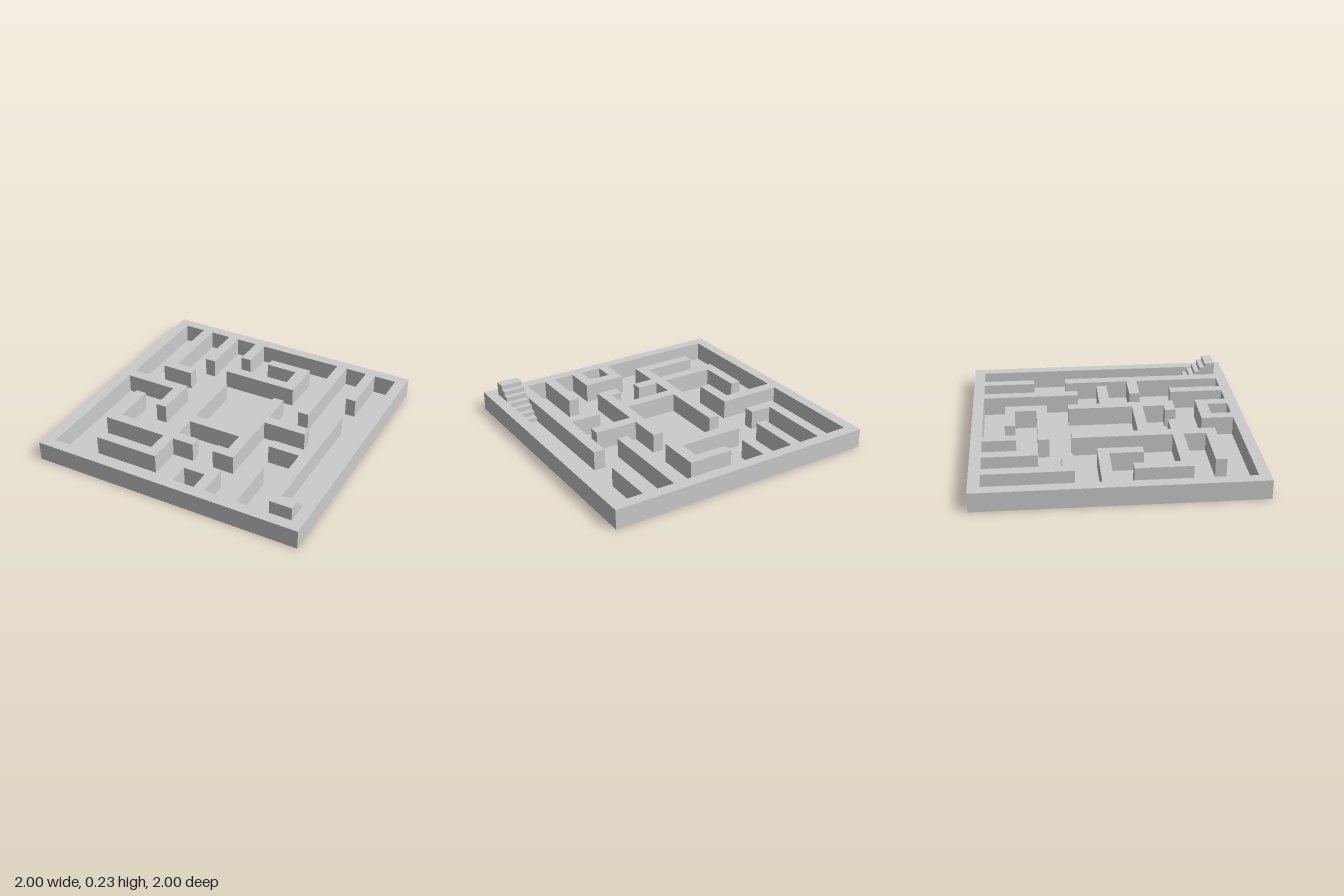
import * as THREE from 'three';

const H = 0.14; // wall height
const material = new THREE.MeshStandardMaterial({ color: 0xcccccc, flatShading: true, side: THREE.DoubleSide });

// Corner path from [x, z] start, then alternating x and z moves
const toLoop = (pairs) => pairs.map(([x, z]) => new THREE.Vector2(x, -z));
const rect = (x0, z0, x1, z1) => toLoop([[x0, z0], [x1, z0], [x1, z1], [x0, z1]]);

// Strip of quads swept from a path along an offset
function sheet(path, offset) {
  const pos = [];
  for (let i = 0; i < path.length - 1; i++) {
    const a = path[i], b = path[i + 1];
    const c = b.clone().add(offset), d = a.clone().add(offset);
    for (const p of [a, b, c, a, c, d]) pos.push(p.x, p.y, p.z);
  }
  const geo = new THREE.BufferGeometry();
  geo.setAttribute('position', new THREE.Float32BufferAttribute(pos, 3));
  geo.computeVertexNormals();
  return geo;
}

// Vertical faces around a closed loop, facing out of it or into it
function sides(loop, inward) {
  const pts = [...loop, loop[0]].map((p) => new THREE.Vector3(p.x, 0, -p.y));
  if (THREE.ShapeUtils.isClockWise(loop) !== inward) pts.reverse();
  return sheet(pts, new THREE.Vector3(0, H, 0));
}

// Horizontal face with holes
function flat(loop, holes, y) {
  const shape = new THREE.Shape(loop);
  shape.holes = holes.map((h) => new THREE.Path(h));
  return new THREE.ShapeGeometry(shape).rotateX(-Math.PI / 2).translate(0, y, 0);
}

export function createModel() {
  const group = new THREE.Group();
  const add = (name, geo) => {
    const mesh = new THREE.Mesh(geo, material);
    mesh.name = name;
    group.add(mesh);
  };

  // Corridor outline, split so the stairwell can be left out of the floor
  const northAndEast = [
    [-0.92, -0.92], [-0.76, -0.92], [-0.76, -0.29], [-0.52, -0.29], [-0.52, -0.37], [-0.68, -0.37],
    [-0.68, -0.92], [-0.52, -0.92], [-0.52, -0.53], [-0.44, -0.53], [-0.44, -0.92], [-0.28, -0.92],
    [-0.28, -0.68], [-0.2, -0.68], [-0.2, -0.92], [0.44, -0.92], [0.44, -0.2], [0.52, -0.2],
    [0.52, -0.92], [0.68, -0.92], [0.68, -0.53], [0.755, -0.53], [0.755, -0.92], [0.92, -0.92],
  ];
  const southAndWest = [
    [0.755, -0.285], [0.67, -0.285], [0.67, 0.2], [0.435, 0.2], [0.435, 0.28], [0.67, 0.28],
    [0.67, 0.92], [0.52, 0.92], [0.52, 0.52], [0.44, 0.52], [0.44, 0.92], [0.28, 0.92],
    [0.28, 0.685], [-0.04, 0.685], [-0.04, 0.92], [-0.92, 0.92], [-0.92, -0.04], [-0.53, -0.04],
    [-0.53, 0.2], [-0.45, 0.2], [-0.45, -0.12], [-0.92, -0.12],
  ];
  const corridor = toLoop([...northAndEast, [0.92, 0.92], [0.755, 0.92], ...southAndWest]);
  const floorLoop = toLoop([...northAndEast, [0.92, 0.6], [0.755, 0.6], ...southAndWest]);
  const outer = rect(-1, -1, 1, 1);
  const pit = rect(0.04, 0.77, 0.2, 0.92);

  // Free-standing walls
  const hookWall = toLoop([
    [-0.05, -0.76], [0.28, -0.76], [0.28, -0.445], [-0.29, -0.445],
    [-0.29, -0.525], [0.19, -0.525], [0.19, -0.685], [-0.05, -0.685],
  ]);
  const centreWall = toLoop([
    [-0.28, -0.285], [-0.28, 0.435], [-0.68, 0.435], [-0.68, 0.11], [-0.76, 0.11], [-0.76, 0.515],
    [-0.28, 0.515], [-0.28, 0.675], [-0.68, 0.675], [-0.68, 0.755], [-0.2, 0.755], [-0.2, 0.515],
    [-0.04, 0.515], [-0.04, 0.435], [-0.2, 0.435], [-0.2, 0.275], [0.2, 0.275], [0.2, 0.435],
    [0.12, 0.435], [0.12, 0.515], [0.28, 0.515], [0.28, 0.035], [0.6, 0.035], [0.6, -0.045],
    [0.28, -0.045], [0.28, -0.285], [0.2, -0.285], [0.2, 0.195], [-0.2, 0.195], [-0.2, -0.285],
  ]);

  // Outer wall with the spurs that grow from it; walls are hollow below
  add('outerWallTop', flat(outer, [corridor, pit], H));
  add('outerWallSides', sides(outer, false));
  add('corridorSides', sides(corridor, true));
  add('pitSides', sides(pit, true));

  for (const [name, loop] of [['hookWall', hookWall], ['centreWall', centreWall]]) {
    add(name + 'Top', flat(loop, [], H));
    add(name + 'Sides', sides(loop, false));
  }

  add('floor', flat(floorLoop, [hookWall, centreWall], 0));
  add('pitFloor', flat(pit, [], 0));

  // Stairs: a folded sheet climbing toward the front corner, closed at the sides
  const x0 = 0.755, x1 = 0.917, rise = 0.235 / 7;
  const profile = [new THREE.Vector3(x0, 0, 0.6)];
  for (let i = 0; i < 7; i++) {
    const y = rise * (i + 1);
    profile.push(new THREE.Vector3(x0, y, 0.6 + 0.04 * i));
    profile.push(new THREE.Vector3(x0, y, i < 6 ? 0.64 + 0.04 * i : 0.918));
  }
  profile.push(new THREE.Vector3(x0, 0, 0.918));
  add('stairSteps', sheet(profile, new THREE.Vector3(x1 - x0, 0, 0)));

  const cheek = new THREE.Shape(profile.map((p) => new THREE.Vector2(-p.z, p.y)));
  for (const [name, x] of [['stairRightSide', x0], ['stairLeftSide', x1]]) {
    add(name, new THREE.ShapeGeometry(cheek).rotateY(Math.PI / 2).translate(x, 0, 0));
  }
  return group;
}
